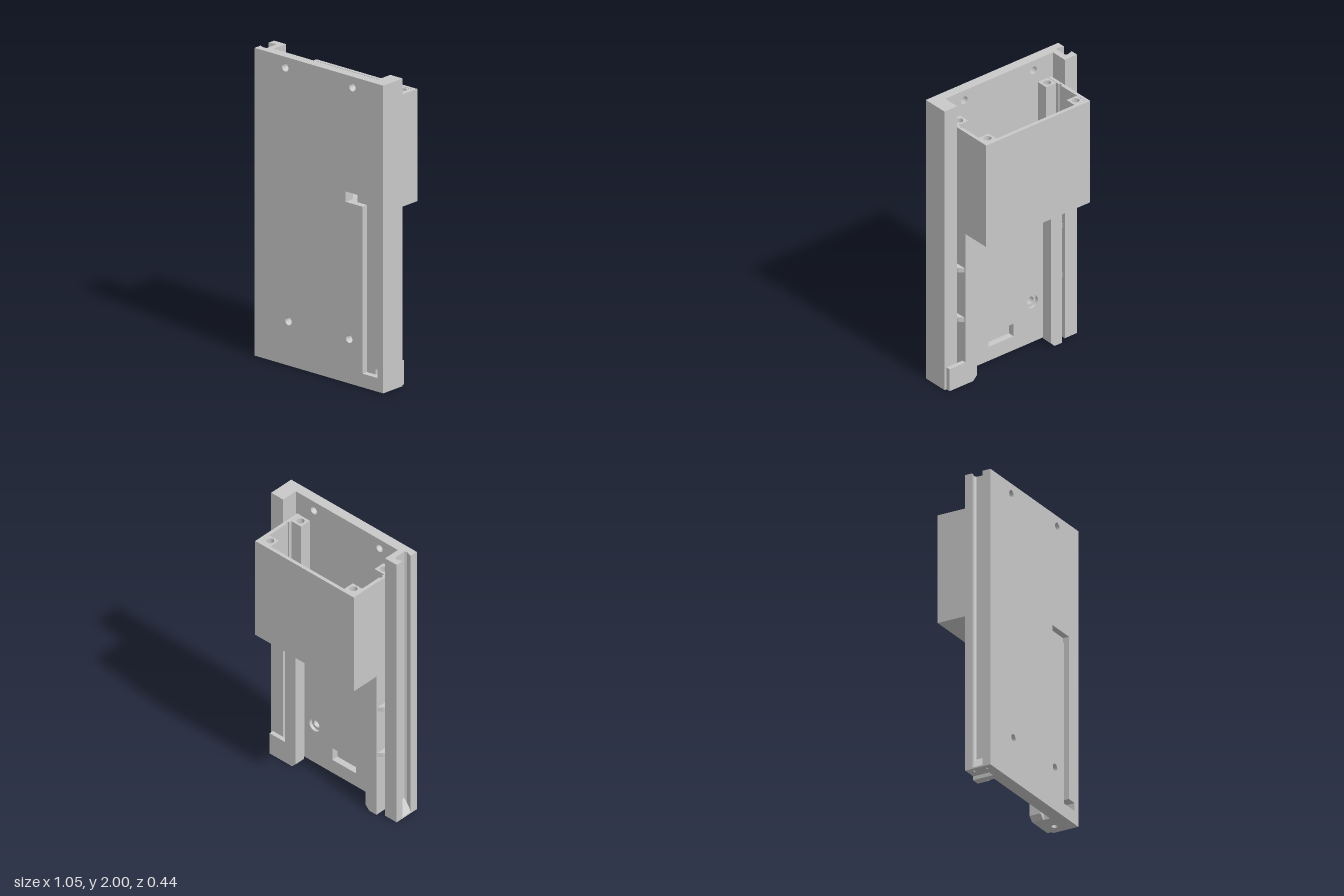
import * as THREE from 'three';

const W = 0.5275, FRONT = 0.222, DECK = 0.156, BACK = 0.042;

// outline and hole helpers
const rect = (a, b, c, d) => [[a, b], [c, b], [c, d], [a, d]];
const circle = (x, y, r, n = 24) => Array.from({ length: n }, (_, i) => {
  const t = (i / n) * Math.PI * 2;
  return [x + r * Math.cos(t), y + r * Math.sin(t)];
});
const mirror = (s, pts) => pts.map(([x, y]) => [s * x, y]);
const vectors = (pts) => pts.map(([x, y]) => new THREE.Vector2(x, y));

function extrude(outline, holes, depth) {
  const shape = new THREE.Shape(vectors(outline));
  for (const h of holes) shape.holes.push(new THREE.Path(vectors(h)));
  return new THREE.ExtrudeGeometry(shape, { depth, bevelEnabled: false });
}

export function createModel() {
  const group = new THREE.Group();
  const grey = new THREE.MeshStandardMaterial({ color: 0xc8c8c8 });
  grey.name = 'light grey plastic';

  const add = (name, geometry) => {
    const mesh = new THREE.Mesh(geometry, grey);
    mesh.name = name;
    group.add(mesh);
  };
  // outline in x,y pushed along z
  const slabZ = (name, outline, z0, z1, holes = []) =>
    add(name, extrude(outline, holes, z1 - z0).translate(0, 0, z0));
  // outline in x,z pushed along y
  const slabY = (name, outline, y0, y1, holes = []) =>
    add(name, extrude(outline, holes, y1 - y0).rotateX(Math.PI / 2).translate(0, y1, 0));

  // front plate: cable groove in the outer layer, through openings in the inner one
  const screws = [[-0.276, 1.93], [0.275, 1.93], [-0.249, 0.288], [0.249, 0.288]]
    .map(([x, y]) => circle(x, y, 0.026));
  const groove = [[0.358, 0.089], [0.483, 0.089], [0.483, 0.143], [0.414, 0.143],
    [0.414, 1.241], [0.22, 1.241], [0.22, 1.174], [0.358, 1.174]];
  const upperEnd = rect(0.22, 1.174, 0.279, 1.241);
  const lowerEnd = rect(0.429, 0.089, 0.483, 0.143);
  const recess = rect(-0.1, 0.1, 0.1, 0.19);
  const plate = rect(-0.468, 0, W, 2);
  slabZ('frontPlate', plate, 0.18, FRONT, [...screws, groove]);
  slabZ('plateBacking', plate, DECK, 0.18, [...screws, upperEnd, lowerEnd, recess]);

  // raised floor of the lower bay with countersinks
  slabZ('bayFloor', rect(-0.335, 0, 0.335, 1.02), 0.135, DECK,
    [circle(-0.249, 0.288, 0.044), circle(0.249, 0.288, 0.044), recess]);

  // right rail with a side channel
  slabY('channelRail', [[-W, BACK], [-0.43, BACK], [-0.43, DECK], [-0.468, DECK],
    [-0.468, FRONT], [-W, FRONT], [-W, 0.167], [-0.485, 0.18], [-0.47, 0.172],
    [-0.47, 0.09], [-0.485, 0.081], [-W, 0.093]], 0, 2);
  // sloped stop closing the foot of the channel
  const stop = extrude([[-W, 0], [-0.468, 0], [-0.468, 0.09], [-W, 0.01]], [], 0.085);
  add('channelStop', stop.translate(0, 0, 0.088));

  // left rail with cable outlet at its foot
  slabY('railFoot', rect(0.385, BACK, W, DECK), 0, 0.089, [circle(0.45, 0.1, 0.02)]);
  slabZ('leftRail', rect(0.427, 0.089, W, 2), BACK, DECK, [rect(0.43, 0.0891, 0.483, 0.143)]);
  slabZ('outletCover', rect(0.385, 0, 0.512, 0.157), 0.012, BACK);

  // undercut guide strips and ribs beside the lower bay
  for (const s of [-1, 1]) {
    slabZ('guideLip', mirror(s, [[0.325, 0], [0.385, 0], [0.385, 1.107], [0.295, 1.107],
      [0.295, 0.03]]), 0.012, 0.09);
    slabZ('guideWall', mirror(s, rect(0.335, 0, 0.385, 1.107)), 0.09, DECK);
    for (const y of [0.445, 0.8]) {
      slabY('guideRib', mirror(s, [[0.385, 0.02], [0.414, 0.045], [0.43, 0.075],
        [0.43, DECK], [0.385, DECK]]), y, y + 0.03);
    }
  }

  // vented floor between the lower bay and the box
  const vents = [-0.184, -0.062, 0.059, 0.18].map((x) => rect(x - 0.005, 0.057, x + 0.005, 0.131));
  const port = rect(-0.315, 0.067, -0.217, 0.111);
  const pins = [-0.302, -0.23].map((x) => circle(x, 0.027, 0.011, 16));
  slabY('bayCeiling', rect(-0.335, 0.012, 0.335, DECK), 1.02, 1.107, [...vents, port]);
  slabY('boxFloor', rect(-0.414, -0.222, 0.414, DECK), 1.107, 1.14, [...vents, port, ...pins]);

  // rear box walls
  slabY('boxWalls', [[-0.414, -0.222], [0.414, -0.222], [0.414, DECK], [0.39, DECK],
    [0.39, 0.055], [0.4, 0.055], [0.4, 0.032], [0.39, 0.032], [0.39, -0.198],
    [-0.39, -0.198], [-0.39, 0.032], [-0.4, 0.032], [-0.4, 0.055], [-0.39, 0.055],
    [-0.39, DECK], [-0.414, DECK]], 1.14, 1.836);

  // screw posts in the four corners
  for (const s of [-1, 1]) {
    for (const [z0, z1, zc] of [[-0.198, -0.12, -0.157], [0.076, DECK, 0.115]]) {
      const post = rect(s * 0.35 - 0.04, z0, s * 0.35 + 0.04, z1);
      slabY('screwPost', post, 1.65, 1.834, [circle(s * 0.35, zc, 0.025)]);
      slabY('postBase', post, 1.14, 1.65);
    }
  }
  return group;
}
